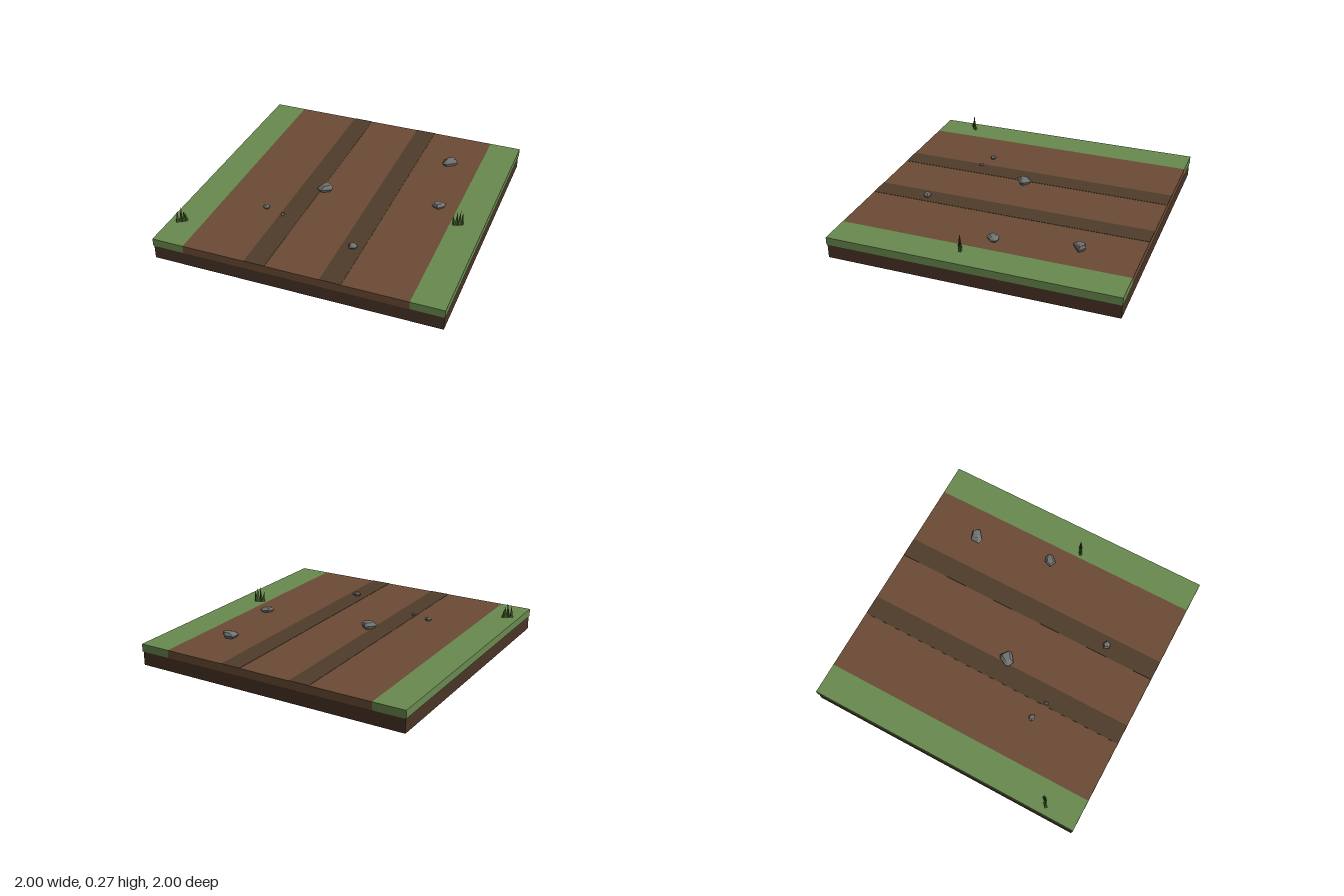
import * as THREE from 'three';
import { ConvexGeometry } from 'three/addons/geometries/ConvexGeometry.js';

const material = (color) => new THREE.MeshStandardMaterial({ color, flatShading: true });
const SOIL = material(0x4a3426), DIRT = material(0x6b4b35), RUT = material(0x4f3c2a);
const GRASS = material(0x698a4e), BLADE = material(0x48642f), STONE = material(0x70726f);
const TOP = 0.153;

export function createModel() {
  const model = new THREE.Group();

  const add = (name, geometry, mat, parent = model) => {
    const mesh = new THREE.Mesh(geometry, mat);
    mesh.name = name;
    parent.add(mesh);
    return mesh;
  };
  // Slab running the full depth of the tile
  const slab = (name, mat, x0, x1, y0, y1, depth = 2) => {
    add(name, new THREE.BoxGeometry(x1 - x0, y1 - y0, depth), mat)
      .position.set((x0 + x1) / 2, (y0 + y1) / 2, 0);
  };

  // Ground layers, verges and wheel ruts
  slab('soilBase', SOIL, -0.995, 0.995, 0, 0.098, 1.99);
  slab('dirtRoad', DIRT, -0.775, 0.775, 0.098, TOP);
  slab('grassVergeRight', GRASS, -1, -0.775, 0.098, TOP);
  slab('grassVergeLeft', GRASS, 0.775, 1, 0.098, TOP);
  slab('wheelRutRight', RUT, -0.335, -0.19, TOP - 0.01, TOP + 0.002);
  slab('wheelRutLeft', RUT, 0.185, 0.33, TOP - 0.01, TOP + 0.002);

  // Stones: faceted hulls with a narrow foot, a wide waist and a shifted crown
  // [x, z, height, crown shift x, crown shift z, outline in hundredths]
  const stones = [
    [0.57, -0.595, 0.046, 0.006, -0.012, [[-5, -3], [1, -5], [5.2, -1], [-2, 4.8], [-5.2, 3.6]]],
    [-0.16, 0.05, 0.046, 0.004, -0.006, [[-5.3, 1.2], [-2.6, -4.2], [0, -5.8], [5.3, -1.5], [4.8, 1.2], [-1, 5.4], [-4.8, 3.3]]],
    [0.65, -0.035, 0.034, -0.008, 0.004, [[-4.5, 2], [-2.9, -3.2], [0.8, -4.3], [4, -3.2], [4, 0], [0.3, 4.3]]],
    [-0.455, 0.4, 0.022, 0.002, -0.002, [[-2.3, -0.3], [-0.5, -2.1], [2, -1.5], [2.5, 1], [0, 2.1], [-2.3, 1]]],
    [-0.317, 0.44, 0.013, 0, 0, [[-1.5, -1.4], [1.3, -1.5], [1.3, 1.2], [-0.2, 1.8]]],
    [0.262, 0.615, 0.03, -0.002, -0.003, [[-3.3, -0.6], [-0.6, -2.7], [3.1, -1.2], [2.1, 2], [-1.7, 2.6]]],
  ];
  stones.forEach(([x, z, h, dx, dz, outline], i) => {
    const points = [];
    outline.forEach(([px, pz], k) => {
      const ring = (s, y, shift) => points.push(new THREE.Vector3(
        px * 0.01 * s + dx * shift, y, pz * 0.01 * s + dz * shift));
      ring(0.68, -0.006, 0);
      ring(1, h * (0.42 + 0.14 * (k % 2)), 0);
      ring(0.58, h * (k % 3 ? 1 : 0.9), 1);
    });
    add('stone' + (i + 1), new ConvexGeometry(points), STONE).position.set(x, TOP, z);
  });

  // Grass tufts: slim three-sided blades leaning from root to tip
  // [root x, root z, tip x, tip z, height]
  const tufts = {
    grassTuftRight: [
      [-0.943, 0.768, -0.945, 0.757, 0.09],
      [-0.925, 0.752, -0.918, 0.748, 0.115],
      [-0.908, 0.745, -0.905, 0.742, 0.085],
      [-0.895, 0.732, -0.9, 0.738, 0.07],
    ],
    grassTuftLeft: [
      [0.805, 0.132, 0.795, 0.138, 0.085],
      [0.818, 0.124, 0.823, 0.122, 0.11],
      [0.835, 0.117, 0.843, 0.114, 0.112],
      [0.852, 0.109, 0.856, 0.104, 0.095],
    ],
  };
  for (const [name, blades] of Object.entries(tufts)) {
    const tuft = new THREE.Group();
    tuft.name = name;
    model.add(tuft);
    blades.forEach(([x, z, tx, tz, h], i) => {
      const blade = new THREE.ConeGeometry(0.013, h, 4, 1, false, i * 0.7);
      blade.translate(0, h / 2, 0);
      // Shear the cone so its tip leans while the foot stays level
      const p = blade.attributes.position;
      for (let k = 0; k < p.count; k++) {
        const t = p.getY(k) / h;
        p.setX(k, p.getX(k) + (tx - x) * t);
        p.setZ(k, p.getZ(k) + (tz - z) * t);
      }
      blade.computeVertexNormals();
      add('blade' + (i + 1), blade, BLADE, tuft).position.set(x, TOP - 0.002, z);
    });
  }

  return model;
}
